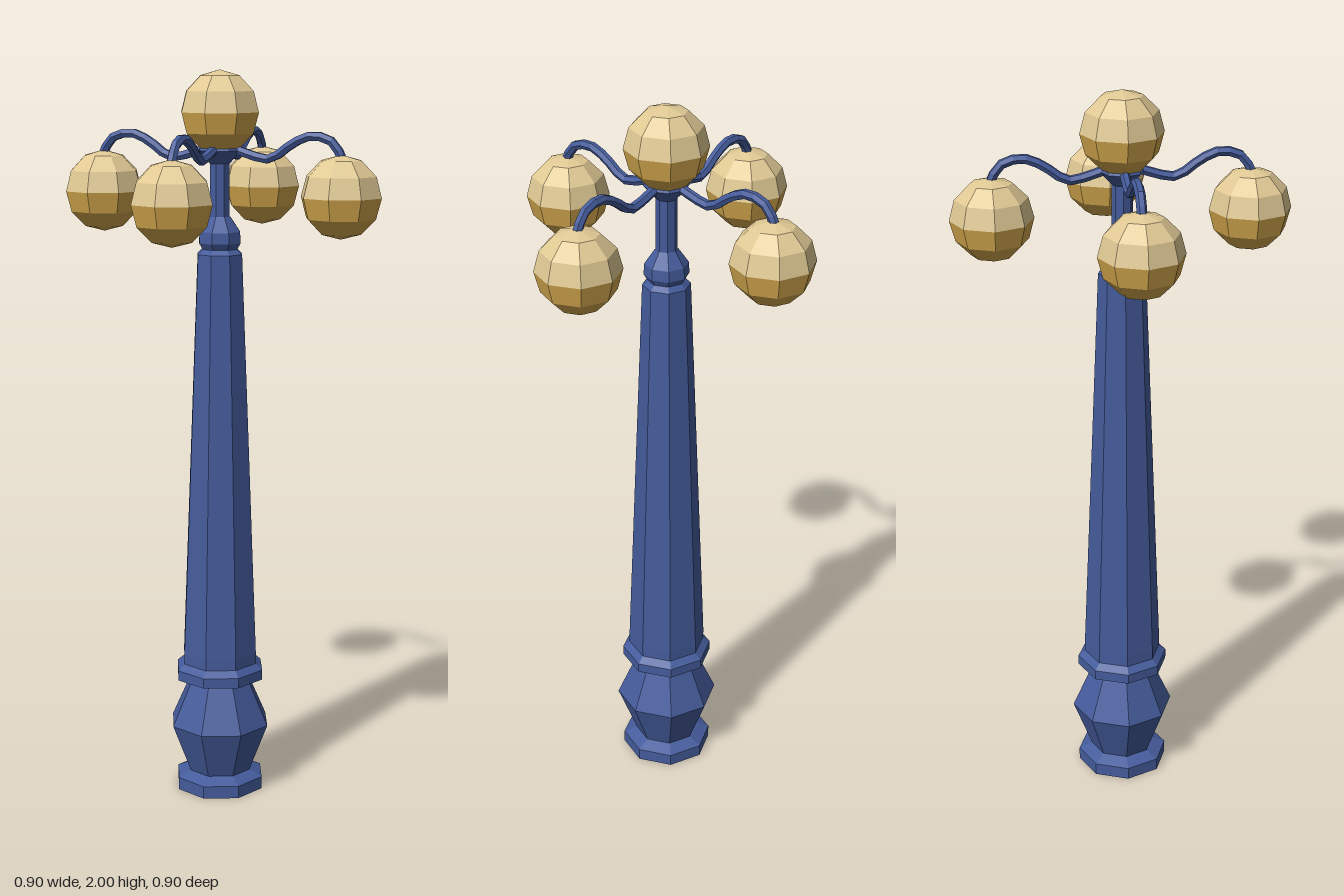
import * as THREE from 'three';

export function createModel() {
  const group = new THREE.Group();
  const material = (name, color) => {
    const m = new THREE.MeshStandardMaterial({ color, flatShading: true });
    m.name = name;
    return m;
  };
  const blue = material('blue paint', 0x455c9c);
  const cream = material('cream glass', 0xe0c994);
  const gold = material('gold glass', 0xd6aa4e);

  const add = (parent, name, geometry, mat) => {
    const mesh = new THREE.Mesh(geometry, mat);
    mesh.name = name;
    parent.add(mesh);
    return mesh;
  };
  // Eight-sided turned parts, profile given from bottom to top
  const turned = (name, profile) => add(group, name,
    new THREE.LatheGeometry(profile.map(([r, y]) => new THREE.Vector2(r, y)), 8), blue);

  turned('pedestal', [
    [0, 0], [0.127, 0], [0.127, 0.035], [0.09, 0.052],
    [0.143, 0.19], [0.085, 0.32],
  ]);
  turned('pedestalCollar', [
    [0.08, 0.32], [0.127, 0.325], [0.127, 0.353], [0.108, 0.37], [0.108, 0.4],
  ]);
  turned('post', [[0.108, 0.4], [0.064, 1.515], [0.048, 1.53]]);
  turned('postCap', [[0.048, 1.525], [0.06, 1.545], [0.058, 1.575], [0.03, 1.615]]);
  turned('stem', [[0.028, 1.6], [0.028, 1.755], [0.06, 1.79], [0.05, 1.81], [0, 1.81]]);

  // Two-tone globe: cream above the equator, gold below
  const addGlobe = (parent, name, x, y) => {
    const globe = new THREE.Group();
    globe.name = name;
    globe.position.set(x, y, 0);
    const half = (start) => new THREE.SphereGeometry(0.11, 8, 3, 0, Math.PI * 2, start, Math.PI / 2);
    add(globe, 'globeTop', half(0), cream);
    add(globe, 'globeBottom', half(Math.PI / 2), gold);
    parent.add(globe);
  };
  addGlobe(group, 'topGlobe', 0, 1.89);

  // Four curved arms, each with a hanging globe
  const armPath = new THREE.CatmullRomCurve3([
    [0.01, 1.805], [0.08, 1.782], [0.14, 1.77], [0.21, 1.815], [0.26, 1.832],
    [0.315, 1.815], [0.343, 1.765],
  ].map(([x, y]) => new THREE.Vector3(x, y, 0)));
  ['left', 'back', 'right', 'front'].forEach((side, i) => {
    const branch = new THREE.Group();
    branch.name = side + 'Branch';
    branch.rotation.y = i * Math.PI / 2;
    add(branch, 'arm', new THREE.TubeGeometry(armPath, 12, 0.013, 6), blue);
    addGlobe(branch, 'globe', 0.338, 1.675);
    group.add(branch);
  });

  return group;
}
